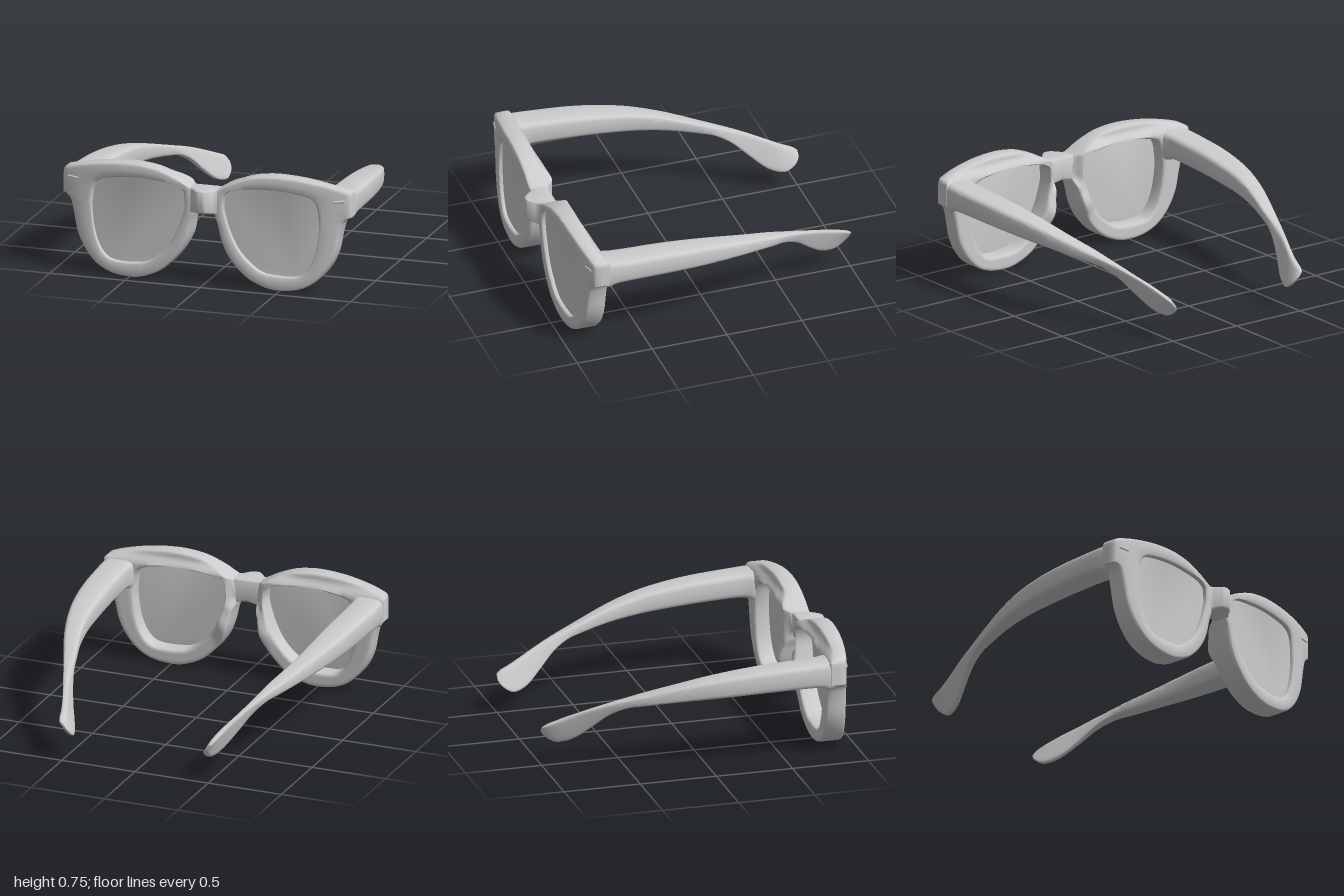
import * as THREE from 'three';
import { toCreasedNormals } from 'three/addons/utils/BufferGeometryUtils.js';

const mat = new THREE.MeshStandardMaterial({ color: 0xcccccc, roughness: 0.6 });
const V2 = (p) => new THREE.Vector2(p[0], p[1]);
const { smoothstep: sstep, lerp } = THREE.MathUtils;

function mesh(name, geo) {
  const m = new THREE.Mesh(geo, mat);
  m.name = name;
  return m;
}

// Copy of a geometry reflected across x = 0, with the winding put right
function mirrored(geo) {
  const g = geo.clone().scale(-1, 1, 1);
  const order = g.index ? Array.from(g.index.array) : [...Array(g.attributes.position.count).keys()];
  g.setIndex(order.reverse());
  return g;
}

function addPair(group, name, geo) {
  group.add(mesh('left' + name, geo), mesh('right' + name, mirrored(geo)));
}

// Move every vertex by a rule
function warp(geo, rule) {
  const p = geo.attributes.position;
  const v = new THREE.Vector3();
  for (let i = 0; i < p.count; i++) {
    rule(v.fromBufferAttribute(p, i));
    p.setXYZ(i, v.x, v.y, v.z);
  }
  return geo;
}

function indexed(pos, idx) {
  const geo = new THREE.BufferGeometry();
  geo.setAttribute('position', new THREE.Float32BufferAttribute(pos, 3));
  geo.setIndex(idx);
  return toCreasedNormals(geo, 0.8);
}

// The front wraps back slightly towards the temples
const wrap = (x) => 0.06 * Math.pow(Math.abs(x) / 0.95, 4);

// Left rim outline (clockwise) and the lens opening inside it
const topEdge = [[0.085, 0.625], [0.12, 0.643], [0.19, 0.68], [0.3, 0.722], [0.4, 0.74], [0.5, 0.745],
  [0.65, 0.735], [0.8, 0.71], [0.92, 0.68], [0.95, 0.66], [0.955, 0.63]];
const lowEdge = [[0.955, 0.51], [0.91, 0.475], [0.885, 0.4], [0.855, 0.26], [0.8, 0.15], [0.72, 0.065],
  [0.62, 0.016], [0.5, 0], [0.4, 0.014], [0.28, 0.07], [0.18, 0.17], [0.12, 0.28], [0.09, 0.4],
  [0.07, 0.465], [0.07, 0.54]];
const lensEdge = [[0.125, 0.57], [0.15, 0.612], [0.22, 0.64], [0.4, 0.656], [0.55, 0.65], [0.68, 0.628],
  [0.735, 0.58], [0.755, 0.45], [0.74, 0.3], [0.705, 0.19], [0.65, 0.12], [0.58, 0.098], [0.45, 0.1],
  [0.36, 0.125], [0.25, 0.22], [0.18, 0.34], [0.135, 0.48]];

const smooth = (pts, n) => new THREE.SplineCurve(pts.map(V2)).getPoints(n);
const lensLoop = smooth([...lensEdge, lensEdge[0]], 80).slice(0, -1);
const centre = new THREE.Vector2(0.45, 0.4);

// Point where the ray from the lens centre through p crosses the lens opening
function onLensEdge(p) {
  const d = p.clone().sub(centre);
  for (let i = 0; i < lensLoop.length; i++) {
    const a = lensLoop[i].clone().sub(centre);
    const e = lensLoop[(i + 1) % lensLoop.length].clone().sub(centre).sub(a);
    const t = -d.cross(a) / d.cross(e);
    const hit = a.addScaledVector(e, t);
    if (t >= 0 && t <= 1 && hit.dot(d) > 0) return hit.add(centre);
  }
  return p;
}

// Rim section: across (0 outer, 1 lens side) and depth (0 back, 1 front)
const rimSection = [[0, 0.1], [0, 0.5], [0, 0.88], [0.05, 0.97], [0.15, 1], [0.5, 1], [0.87, 1], [0.96, 0.97],
  [1, 0.9], [1, 0.5], [1, 0.1], [0.96, 0.03], [0.87, 0], [0.7, 0], [0.5, 0], [0.3, 0], [0.15, 0], [0.05, 0.03]];

function rimGeometry() {
  const outer = [...smooth(topEdge, 50), ...smooth(lowEdge, 80)];
  const n = rimSection.length, pos = [], idx = [];
  outer.forEach((o, i) => {
    const inner = onLensEdge(o);
    const k = i * n, next = ((i + 1) % outer.length) * n;
    rimSection.forEach(([s, u], j) => {
      const x = lerp(o.x, inner.x, s), y = lerp(o.y, inner.y, s);
      // The back steps forward along the brow and swells into a nose pad
      const brow = 0.045 * Math.max(sstep(y, 0.65, 0.71), (1 - sstep(x, 0.08, 0.13)) * sstep(y, 0.42, 0.5));
      const pad = 0.035 * Math.exp(-(((y - 0.31) / 0.085) ** 2)) * (1 - sstep(x, 0.14, 0.23));
      const back = 0.77 + brow - pad - wrap(x) * 0.2;
      pos.push(x, y, lerp(back, 0.932 - wrap(x), u));
      const m = (j + 1) % n;
      idx.push(k + j, k + m, next + j, next + j, k + m, next + m);
    });
  });
  return indexed(pos, idx);
}

function lensGeometry() {
  const geo = new THREE.ExtrudeGeometry(new THREE.Shape(lensLoop), { depth: 0.02, bevelEnabled: false });
  warp(geo, (v) => { v.z += 0.885 - wrap(v.x); });
  return toCreasedNormals(geo, 0.7);
}

// Bridge bar with a raised ridge at its front
function bridgeGeometry() {
  const right = smooth([[0.112, 0.925], [0.08, 0.937], [0.055, 0.967], [0.03, 0.992], [0, 1]], 14);
  const left = right.map((p) => new THREE.Vector2(-p.x, p.y)).reverse();
  const back = [-0.112, -0.06, 0, 0.06, 0.112].map((x) => new THREE.Vector2(x, 0.817));
  const geo = new THREE.ExtrudeGeometry(new THREE.Shape([...back, ...right, ...left.slice(1)]), {
    depth: 0.11, bevelThickness: 0.018, bevelSize: 0.014, bevelOffset: -0.014, bevelSegments: 3,
  });
  geo.rotateX(Math.PI / 2);
  // Arch the underside
  warp(geo, (v) => {
    const low = sstep(-v.y, 0.06, 0.11);
    v.y += 0.61 - 0.025 * low * Math.min(1, (v.x / 0.09) ** 2);
  });
  return toCreasedNormals(geo, 0.7);
}

// Temple arm: rounded-box sections lofted between two corner curves
// Rows: z, top y, bottom y, outer x, inner x
const rows = [
  [0.84, 0.655, 0.5, 0.95, 0.765], [0.77, 0.66, 0.472, 0.953, 0.75], [0.71, 0.655, 0.49, 0.955, 0.757],
  [0.6, 0.648, 0.493, 0.953, 0.757],
  [0.4, 0.637, 0.487, 0.942, 0.752], [0.2, 0.617, 0.477, 0.92, 0.745], [0, 0.587, 0.462, 0.88, 0.735],
  [-0.2, 0.54, 0.442, 0.82, 0.705], [-0.4, 0.482, 0.412, 0.742, 0.652], [-0.5, 0.452, 0.39, 0.702, 0.622],
  [-0.6, 0.422, 0.335, 0.663, 0.585], [-0.7, 0.387, 0.245, 0.624, 0.54], [-0.8, 0.347, 0.165, 0.585, 0.488],
  [-0.9, 0.305, 0.14, 0.553, 0.45], [-0.97, 0.277, 0.18, 0.535, 0.45], [-1, 0.257, 0.222, 0.518, 0.472],
];

function templeGeometry() {
  const curve = (f) => new THREE.CatmullRomCurve3(rows.map(f), false, 'catmullrom', 0.5);
  const outerTop = curve((r) => new THREE.Vector3(r[3], r[1], r[0]));
  const innerLow = curve((r) => new THREE.Vector3(r[4], r[2], r[0]));
  const rings = 60, sides = 24, pos = [], idx = [];
  const round = (c) => Math.sign(c) * Math.pow(Math.abs(c), 0.42);
  for (let i = 0; i <= rings; i++) {
    const a = outerTop.getPoint(i / rings), b = innerLow.getPoint(i / rings);
    const lean = 0.6 * sstep(-a.z, 0.35, 0.8); // the tip leans inward at its lower edge
    for (let j = 0; j < sides; j++) {
      const t = (j / sides) * Math.PI * 2;
      const ex = round(Math.cos(t)), ey = round(Math.sin(t));
      pos.push((a.x + b.x) / 2 + (a.x - b.x) / 2 * ((1 - lean) * ex + lean * ey),
        (a.y + b.y) / 2 + (a.y - b.y) / 2 * ey, a.z);
      if (i === rings) continue;
      const k = i * sides, n = (j + 1) % sides;
      idx.push(k + j, k + sides + j, k + n, k + n, k + sides + j, k + sides + n);
    }
  }
  // Close the tip
  const last = rings * sides;
  pos.push(0.495, 0.24, -1);
  for (let j = 0; j < sides; j++) idx.push(last + sides, last + (j + 1) % sides, last + j);
  return indexed(pos, idx);
}

export function createModel() {
  const model = new THREE.Group();
  model.name = 'glasses';
  model.add(mesh('bridge', bridgeGeometry()));
  addPair(model, 'Rim', rimGeometry());
  addPair(model, 'Lens', lensGeometry());
  addPair(model, 'Temple', templeGeometry());

  // Small decorative rivets at the outer corners
  const rivet = new THREE.CapsuleGeometry(0.009, 0.06, 4, 10).rotateZ(Math.PI / 2 + 0.08);
  addPair(model, 'Rivet', rivet.rotateY(0.2).translate(0.885, 0.613, 0.885));
  return model;
}
